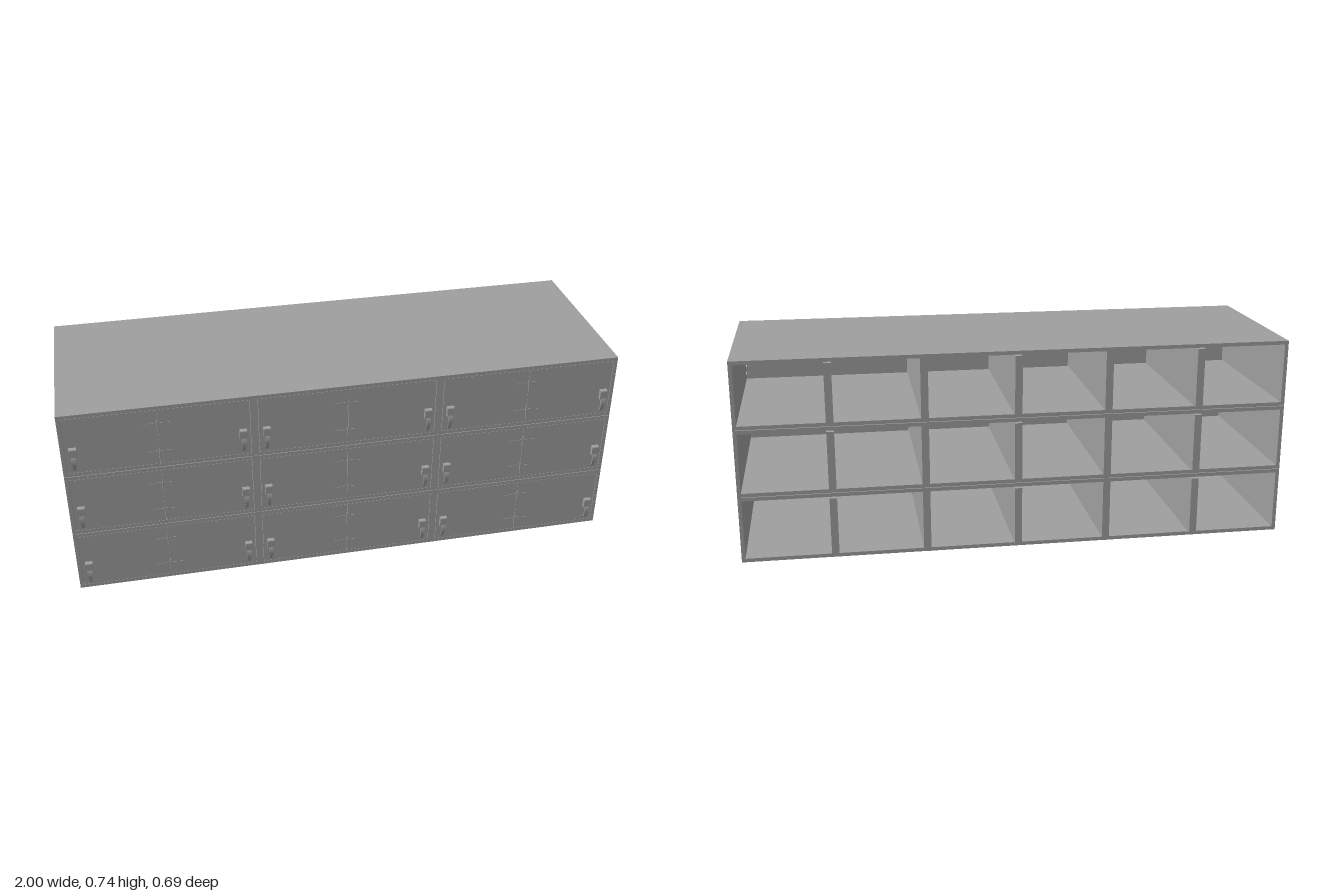
import * as THREE from 'three';

const UNIT_W = 2 / 3, UNIT_H = 0.2473, WALL = 0.0135;
const FRONT = 0.33, DEPTH = 0.66, GAP = 0.001;
const BODY_H = UNIT_H - 0.0012;
const DOOR_W = UNIT_W / 2 - WALL - 2 * GAP;
const grey = new THREE.MeshStandardMaterial({ color: 0x9f9f9f });

function add(parent, name, geometry, x = 0, y = 0, z = 0) {
  const mesh = new THREE.Mesh(geometry, grey);
  mesh.name = name;
  mesh.position.set(x, y, z);
  parent.add(mesh);
  return mesh;
}

// Extrudes a (z, y) side profile to a width centred on x = 0
function sideProfile(shape, width) {
  return new THREE.ExtrudeGeometry(shape, { depth: width, bevelEnabled: false, curveSegments: 10 })
    .translate(0, 0, -width / 2).rotateY(-Math.PI / 2);
}

// Curved lever hanging from the housing, narrowing towards the lower tip
function leverGeometry() {
  const s = new THREE.Shape();
  s.moveTo(0.006, 0.09).lineTo(0.012, 0.09);
  s.bezierCurveTo(0.021, 0.072, 0.02, 0.045, 0.001, 0.024);
  s.lineTo(0, 0.03);
  s.bezierCurveTo(0.013, 0.045, 0.014, 0.07, 0.006, 0.09);
  const g = sideProfile(s, 0.018);
  const p = g.attributes.position;
  for (let i = 0; i < p.count; i++) {
    const t = THREE.MathUtils.clamp((p.getY(i) - 0.024) / 0.055, 0, 1);
    p.setX(i, p.getX(i) * (0.5 + 0.5 * t));
  }
  g.computeVertexNormals();
  return g;
}

// Latch housing with a rounded upper corner
function housingGeometry() {
  const s = new THREE.Shape();
  s.moveTo(0, 0.08).lineTo(0.014, 0.08).lineTo(0.015, 0.112);
  s.quadraticCurveTo(0.015, 0.118, 0.009, 0.118).lineTo(0, 0.118).closePath();
  return sideProfile(s, 0.026);
}

// Double strap with arms tapering outwards from the middle
function strapGeometry() {
  const s = new THREE.Shape();
  s.moveTo(-0.011, -0.005).lineTo(0.011, -0.005).lineTo(0.042, -0.003);
  s.quadraticCurveTo(0.053, 0, 0.042, 0.003);
  s.lineTo(0.011, 0.005).lineTo(-0.011, 0.005).lineTo(-0.042, 0.003);
  s.quadraticCurveTo(-0.053, 0, -0.042, -0.003).closePath();
  return new THREE.ExtrudeGeometry(s, { depth: 0.0015, bevelEnabled: false });
}

function makeUnit(geo) {
  const unit = new THREE.Group();
  unit.name = 'lockerUnit';

  // Carcass, open at the back
  for (const side of [-1, 1]) {
    add(unit, 'sidePanel', geo.side, side * (UNIT_W - WALL) / 2, BODY_H / 2, 0);
  }
  add(unit, 'bottomPanel', geo.level, 0, WALL / 2 + 0.0003, 0);
  add(unit, 'topPanel', geo.level, 0, BODY_H - WALL / 2 - 0.0003, 0);
  add(unit, 'divider', geo.divider, 0, BODY_H / 2, -0.0145);

  // Paired doors with handles at their outer edges
  for (const side of [-1, 1]) {
    add(unit, 'door', geo.door, side * (GAP / 2 + DOOR_W / 2), BODY_H / 2, FRONT - 0.006);
    const handle = new THREE.Group();
    handle.name = 'handle';
    handle.position.set(side * 0.292, 0, FRONT - 0.001);
    add(handle, 'latchHousing', geo.housing);
    add(handle, 'lever', geo.lever);
    unit.add(handle);
  }

  // Strap hinges over the centre seam
  for (const y of [0.057, 0.171]) {
    const hinge = new THREE.Group();
    hinge.name = 'strapHinge';
    hinge.position.set(0, y, FRONT - 0.0002);
    add(hinge, 'strap', geo.strap, 0, 0.006, 0);
    add(hinge, 'hingeBarrel', geo.barrel, 0, 0, 0.0008);
    unit.add(hinge);
  }
  return unit;
}

export function createModel() {
  const geo = {
    side: new THREE.BoxGeometry(WALL, BODY_H, DEPTH),
    level: new THREE.BoxGeometry(UNIT_W - 2 * WALL, WALL, DEPTH),
    divider: new THREE.BoxGeometry(0.027, BODY_H - 2 * WALL - 0.002, 0.663),
    door: new THREE.BoxGeometry(DOOR_W, BODY_H - 2 * WALL - 2 * GAP, 0.012),
    lever: leverGeometry(),
    housing: housingGeometry(),
    strap: strapGeometry(),
    barrel: new THREE.CylinderGeometry(0.0025, 0.0025, 0.042, 10),
  };

  const model = new THREE.Group();
  model.name = 'lockerBank';
  for (let row = 0; row < 3; row++) {
    for (let col = -1; col <= 1; col++) {
      const unit = makeUnit(geo);
      unit.position.set(col * UNIT_W, row * UNIT_H, 0);
      model.add(unit);
    }
  }
  return model;
}
